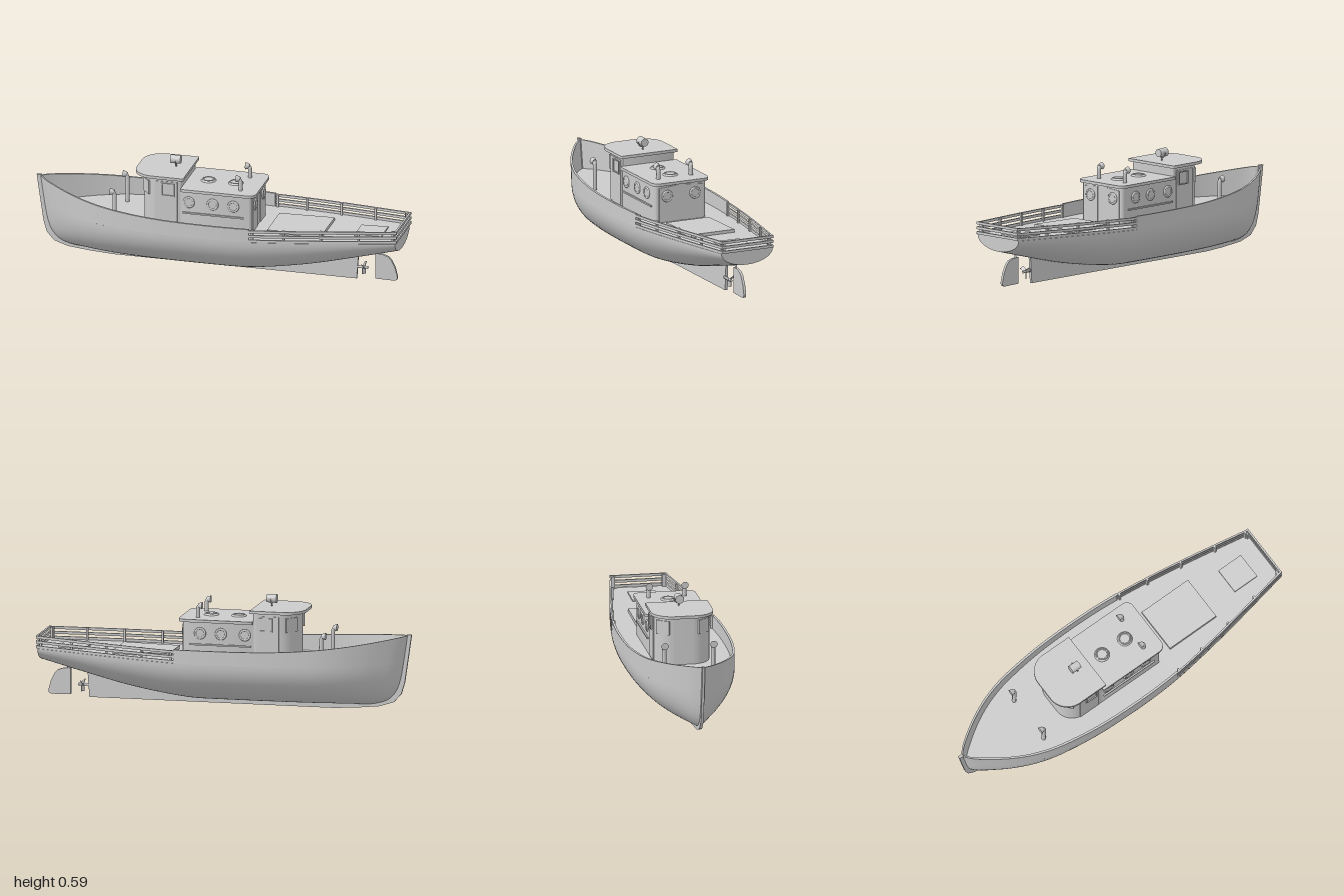
import * as THREE from 'three';
import { toCreasedNormals } from 'three/addons/utils/BufferGeometryUtils.js';

const grey = new THREE.MeshStandardMaterial({ color: 0xcccccc, side: THREE.DoubleSide });

// smooth curve through [x, value] pairs
function curve(pts) {
  const slope = (i) => {
    const a = pts[Math.max(0, i - 1)], b = pts[Math.min(pts.length - 1, i + 1)];
    return (b[1] - a[1]) / (b[0] - a[0]);
  };
  return (x) => {
    let i = 0;
    while (i < pts.length - 2 && x > pts[i + 1][0]) i++;
    const [x0, y0] = pts[i], [x1, y1] = pts[i + 1], h = x1 - x0;
    const t = THREE.MathUtils.clamp((x - x0) / h, 0, 1), u = 1 - t;
    return u * u * (1 + 2 * t) * y0 + t * t * (3 - 2 * t) * y1 + h * t * u * (u * slope(i) - t * slope(i + 1));
  };
}

const BOW = -0.985, STERN = 0.98, BREAK = 0.22;
const beam = curve([[BOW, 0], [-0.95, 0.04], [-0.9, 0.08], [-0.8, 0.145], [-0.7, 0.195], [-0.6, 0.23], [-0.5, 0.252],
  [-0.3, 0.277], [-0.1, 0.285], [0.1, 0.282], [0.3, 0.265], [0.6, 0.22], [STERN, 0.15]]);
const bottom = curve([[-1, 0.028], [0, 0.025], [0.2, 0.03], [0.49, 0.075], [0.76, 0.14], [STERN, 0.198]]);
const sheer = curve([[-1, 0.405], [-0.8, 0.375], [-0.6, 0.351], [-0.4, 0.335], [-0.2, 0.327], [BREAK, 0.322]]);
const stem = curve([[0.028, -0.8], [0.05, -0.87], [0.09, -0.915], [0.15, -0.942], [0.25, -0.962], [0.405, BOW]]);
const deckY = (x) => 0.25 + 0.022 * Math.max(0, (x - BREAK) / (STERN - BREAK));

// point on a station, raked to follow the stem near the bow
const at = (x, y, z) => [x + (stem(y) - BOW) * Math.max(0, 1 - (x - BOW) / 0.6), y, z];

function stations(a, b, n) {
  return Array.from({ length: n + 1 }, (_, i) => a + (b - a) * i / n);
}

// surface through rows of points
function loft(rows, crease) {
  const n = rows[0].length, index = [];
  for (let i = 0; i < rows.length - 1; i++) for (let j = 0; j < n - 1; j++) {
    const a = i * n + j, b = a + n;
    index.push(a, b, a + 1, b, b + 1, a + 1);
  }
  const g = new THREE.BufferGeometry();
  g.setAttribute('position', new THREE.Float32BufferAttribute(rows.flat(2), 3));
  g.setIndex(index);
  g.computeVertexNormals();
  return crease ? toCreasedNormals(g, crease) : g;
}

// long bar with a rectangular section, closed at both ends
function bar(xs, lo, hi, thick) {
  const rows = xs.map((x) => {
    const w = beam(x), v = Math.max(0, w - thick), l = lo(x), h = hi(x);
    return [at(x, l, w), at(x, h, w), at(x, h, v), at(x, l, v), at(x, l, w)];
  });
  const cap = (r) => r.map(() => [0, 1, 2].map((k) => (r[0][k] + r[2][k]) / 2));
  return loft([cap(rows[0]), ...rows, cap(rows[rows.length - 1])], 0.6);
}

function add(parent, name, geo, x = 0, y = 0, z = 0) {
  const m = new THREE.Mesh(geo, grey);
  m.name = name;
  m.position.set(x, y, z);
  parent.add(m);
  return m;
}
const box = (p, name, w, h, d, x, y, z) => add(p, name, new THREE.BoxGeometry(w, h, d), x, y, z);

// upright block with rounded front and back corners
function block(x0, x1, half, rf, rb, y0, y1) {
  const s = new THREE.Shape();
  s.moveTo(x0 + rf, -half);
  s.lineTo(x1 - rb, -half);
  s.absarc(x1 - rb, -half + rb, rb, -Math.PI / 2, 0);
  s.absarc(x1 - rb, half - rb, rb, 0, Math.PI / 2);
  s.absarc(x0 + rf, half - rf, rf, Math.PI / 2, Math.PI);
  s.absarc(x0 + rf, -half + rf, rf, Math.PI, Math.PI * 1.5);
  const g = new THREE.ExtrudeGeometry(s, { depth: y1 - y0, bevelEnabled: false, curveSegments: 12 });
  g.rotateX(-Math.PI / 2).translate(0, y0, 0);
  return toCreasedNormals(g, 0.5);
}

// flat plate in the centre plane
function plate(pts, thick) {
  const s = new THREE.Shape(pts.map((p) => new THREE.Vector2(...p)));
  return new THREE.ExtrudeGeometry(s, { depth: thick, bevelEnabled: false }).translate(0, 0, -thick / 2);
}

function porthole(parent, name, x, y, z, r) {
  const g = new THREE.Group();
  g.name = name;
  g.position.set(x, y, z);
  add(g, 'rim', new THREE.TorusGeometry(r - 0.005, 0.006, 8, 28));
  add(g, 'glass', new THREE.CylinderGeometry(r - 0.005, r - 0.005, 0.008, 28).rotateX(Math.PI / 2));
  parent.add(g);
  return g;
}

// ventilator pipe with a forward-facing mouth
function cowl(parent, x, y0, y1, z) {
  const path = new THREE.CatmullRomCurve3([[x, y0], [x, y1 - 0.04], [x - 0.003, y1 - 0.025], [x - 0.014, y1 - 0.018]]
    .map(([a, b]) => new THREE.Vector3(a, b, z)));
  add(parent, 'ventPipe', new THREE.TubeGeometry(path, 16, 0.011, 12));
  add(parent, 'ventMouth', new THREE.CylinderGeometry(0.019, 0.011, 0.022, 20).rotateZ(Math.PI / 2), x - 0.012, y1 - 0.018, z);
}

export function createModel() {
  const boat = new THREE.Group();
  boat.name = 'boat';

  // hull, transom and deck
  const xs = [...stations(BOW, -0.8, 14), ...stations(-0.78, STERN, 44)];
  const section = (x) => stations(-Math.PI / 2, Math.PI / 2, 40).map((a) => {
    const top = deckY(x);
    return at(x, top - (top - bottom(x)) * Math.cos(a), beam(x) * Math.sin(a));
  });
  add(boat, 'hull', loft(xs.map(section)));
  const end = section(STERN);
  add(boat, 'transom', loft([end, end.map(([x, , z]) => [x, deckY(STERN), z])]));
  add(boat, 'deck', loft(xs.map((x) => [1, -1].map((s) => at(x, deckY(x), s * beam(x))))));

  // keel and stem
  add(boat, 'keel', plate([[-1, 0.407], [-0.985, 0.3], [-0.963, 0.15], [-0.945, 0.09], [-0.905, 0.045], [-0.83, 0.02],
    [-0.7, 0.007], [-0.58, 0], [0.735, 0], [0.745, 0.145], [0.5, 0.09], [0.2, 0.04], [-0.75, 0.04], [-0.86, 0.065],
    [-0.905, 0.1], [-0.935, 0.16], [-0.955, 0.27], [-0.975, 0.407]], 0.014));

  // bulwarks, rails and posts
  for (const s of [1, -1]) {
    const side = new THREE.Group();
    side.name = s > 0 ? 'leftSide' : 'rightSide';
    side.scale.z = s;
    boat.add(side);
    add(side, 'bulwark', bar([...stations(BOW, -0.8, 14), ...stations(-0.77, BREAK, 30)], () => 0.25, sheer, 0.012));
    for (let k = 0; k < 3; k++) {
      const low = (x) => deckY(x) + 0.001 + k * 0.026;
      add(side, 'sideRail', bar(stations(BREAK, STERN + 0.003, 16), low, (x) => low(x) + 0.014, 0.009));
    }
    for (const x of [0.235, 0.4, 0.595, 0.79, 0.965])
      box(side, 'railPost', 0.011, 0.075, 0.011, x, deckY(x) + 0.03, beam(x) - 0.014);
    box(side, 'sternPost', 0.011, 0.07, 0.011, 0.97, 0.302, 0.13);
  }
  for (let k = 0; k < 3; k++) box(boat, 'sternRail', 0.01, 0.014, 0.3, 0.983, 0.281 + k * 0.026, 0);

  // deckhouse
  add(boat, 'wheelhouse', block(-0.4, -0.18, 0.148, 0.1, 0.004, 0.245, 0.512));
  add(boat, 'wheelhouseRoof', block(-0.445, -0.165, 0.165, 0.11, 0.004, 0.511, 0.526));
  add(boat, 'cabin', block(-0.185, 0.2, 0.148, 0.004, 0.015, 0.245, 0.455));
  add(boat, 'cabinRoof', block(-0.18, 0.223, 0.165, 0.004, 0.04, 0.452, 0.467));
  for (const s of [1, -1]) {
    for (const x of [-0.137, -0.008, 0.104]) porthole(boat, 'sidePorthole', x, 0.393, s * 0.15, 0.031);
    box(boat, 'rubStrip', 0.33, 0.008, 0.012, -0.005, 0.333, s * 0.15);
    box(boat, 'sideDoor', 0.12, 0.24, 0.006, -0.26, 0.376, s * 0.148);
    // door window frame
    for (const d of [-1, 1]) {
      box(boat, 'doorWindowFrame', 0.006, 0.07, 0.008, -0.25 + d * 0.033, 0.452, s * 0.153);
      box(boat, 'doorWindowFrame', 0.072, 0.006, 0.008, -0.25, 0.452 + d * 0.033, s * 0.153);
    }
    // front corner windows
    const turn = 0.65;
    const win = box(boat, 'frontWindow', 0.012, 0.075, 0.075, -0.3 - 0.097 * Math.cos(turn), 0.45,
      s * (0.048 + 0.097 * Math.sin(turn)));
    win.rotation.y = s * turn;
    // rear doors
    const door = plate([[0.03, 0.25], [0.126, 0.25], [0.126, 0.435], [0.03, 0.443]], 0.008).rotateY(-Math.PI / 2);
    add(boat, 'rearDoor', door, 0.2, 0, 0).scale.z = s;
    porthole(boat, 'rearPorthole', 0.206, 0.391, s * 0.081, 0.031).rotation.y = Math.PI / 2;
    cowl(boat, -0.545, 0.245, 0.42, s * 0.13);
    cowl(boat, 0.128, 0.46, 0.548, s * 0.095);
  }
  for (const x of [-0.07, 0.078]) {
    add(boat, 'roofHatch', new THREE.CylinderGeometry(0.034, 0.041, 0.008, 32), x, 0.47, 0);
    add(boat, 'roofHatchRim', new THREE.TorusGeometry(0.029, 0.004, 8, 32).rotateX(Math.PI / 2), x, 0.473, 0);
  }

  // searchlight
  add(boat, 'lightPost', new THREE.CylinderGeometry(0.004, 0.004, 0.022, 10), -0.245, 0.533, 0);
  add(boat, 'lightYoke', new THREE.TorusGeometry(0.026, 0.003, 6, 20, Math.PI).rotateZ(Math.PI).rotateY(Math.PI / 2), -0.245, 0.567, 0);
  add(boat, 'searchlight', new THREE.CylinderGeometry(0.023, 0.021, 0.054, 24).rotateZ(Math.PI / 2), -0.247, 0.567, 0);

  // deck hatches
  box(boat, 'mainHatch', 0.3, 0.024, 0.25, 0.43, 0.262, 0).rotation.z = 0.02;
  box(boat, 'sternHatch', 0.145, 0.01, 0.145, 0.812, 0.27, 0).rotation.z = 0.028;

  // propeller and rudder
  add(boat, 'propellerShaft', new THREE.CylinderGeometry(0.007, 0.007, 0.06, 12).rotateZ(Math.PI / 2), 0.765, 0.065, 0);
  for (let k = 0; k < 3; k++) {
    const hub = new THREE.Group();
    hub.name = 'propellerBlade';
    hub.position.set(0.772, 0.065, 0);
    hub.rotation.x = Math.PI + k * Math.PI * 2 / 3;
    box(hub, 'blade', 0.004, 0.034, 0.02, 0, 0.02, 0).rotation.y = 0.8;
    boat.add(hub);
  }
  add(boat, 'rudder', plate([[0.835, 0.01], [0.94, 0.008], [0.953, 0.015], [0.955, 0.03], [0.942, 0.08], [0.922, 0.12],
    [0.905, 0.138], [0.875, 0.148], [0.835, 0.15]], 0.014));
  add(boat, 'rudderStock', new THREE.CylinderGeometry(0.006, 0.006, 0.05, 10), 0.85, 0.16, 0);
  return boat;
}
